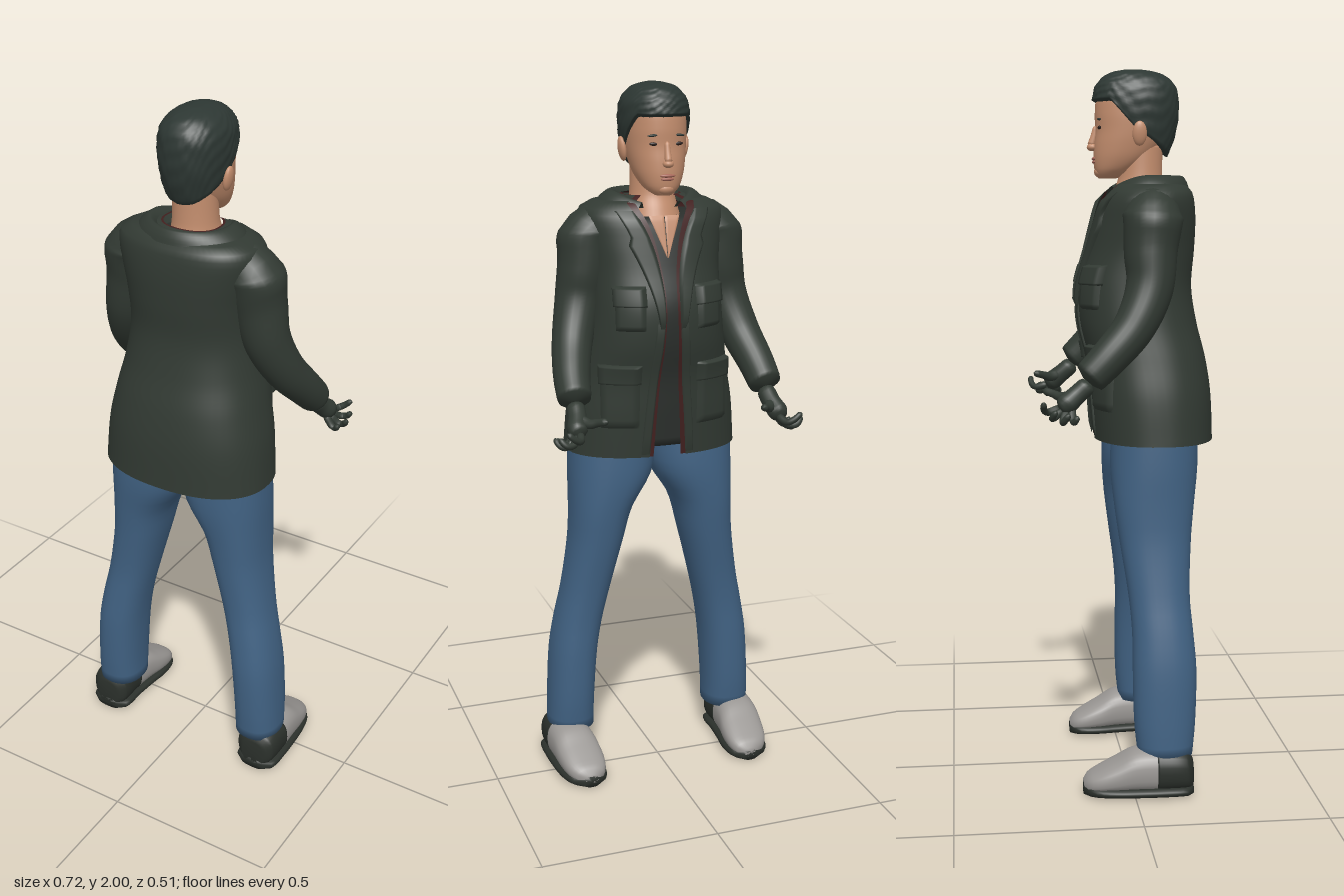
import * as THREE from 'three';
import { mergeVertices } from 'three/addons/utils/BufferGeometryUtils.js';

const V = (x, y, z) => new THREE.Vector3(x, y, z);
const paint = (name, color) => Object.assign(new THREE.MeshStandardMaterial({ color }), { name });
const spow = (a, e) => Math.sign(a) * Math.abs(a) ** e;

// Smooth surface over a grid; f(u, v) gives a point, caps close both ends
function sheet(nu, nv, f, caps = false) {
  const rows = [];
  for (let j = 0; j <= nv; j++) rows.push(Array.from({ length: nu + 1 }, (_, i) => f(i / nu, j / nv)));
  if (caps) {
    const collapse = row => {
      const c = V(0, 0, 0);
      row.slice(1).forEach(p => c.addScaledVector(p, 1 / nu));
      return row.map(() => c);
    };
    rows.unshift(collapse(rows[0]));
    rows.push(collapse(rows[rows.length - 1]));
  }
  const index = [], w = nu + 1;
  for (let j = 0; j < rows.length - 1; j++) for (let i = 0; i < nu; i++) {
    const a = j * w + i;
    index.push(a, a + w, a + 1, a + 1, a + w, a + w + 1);
  }
  let g = new THREE.BufferGeometry().setFromPoints(rows.flat());
  g.setIndex(index);
  g = mergeVertices(g, 1e-5);
  g.computeVertexNormals();
  return g;
}

// Smooth interpolation of a table whose first column is the key
function sample(table, k) {
  let i = 0;
  while (i < table.length - 2 && k > table[i + 1][0]) i++;
  const a = table[i], b = table[i + 1], p = table[i - 1] || a, n = table[i + 2] || b;
  const h = b[0] - a[0], t = Math.min(1, Math.max(0, (k - a[0]) / h));
  return a.map((_, c) => {
    const m0 = (b[c] - p[c]) / (b[0] - p[0]) * h, m1 = (n[c] - a[c]) / (n[0] - a[0]) * h;
    return a[c] * (1 + 2 * t) * (1 - t) ** 2 + m0 * t * (1 - t) ** 2 + b[c] * t * t * (3 - 2 * t) + m1 * t * t * (t - 1);
  });
}

// Point on a body of horizontal sections [y, halfWidth, zFront, zBack, centreX]
function onBody(table, y, ang, off = 0, n = 2.3) {
  const [, rx, zf, zb, cx = 0] = sample(table, y);
  return V(cx + (rx + off) * spow(Math.sin(ang), 2 / n), y,
    (zf + zb) / 2 - ((zb - zf) / 2 + off) * spow(Math.cos(ang), 2 / n));
}
const body = (table, y0, y1, off = 0, n = 2.3) =>
  sheet(40, 30, (u, v) => onBody(table, y0 + (y1 - y0) * v, u * Math.PI * 2, off, n), true);

// Round limb along a path with changing radius
function limb(points, radii, nu = 16, nv = 24, round = 0.08) {
  const curve = new THREE.CatmullRomCurve3(points), fr = curve.computeFrenetFrames(nv);
  return sheet(nu, nv, (u, v) => {
    const k = v * (radii.length - 1), i = Math.min(Math.floor(k), radii.length - 2);
    const d = Math.min(1, Math.min(v, 1 - v) / round);
    const r = (radii[i] + (radii[i + 1] - radii[i]) * (k - i)) * (0.3 + 0.7 * Math.sqrt(1 - (1 - d) ** 2));
    const j = Math.round(v * nv), a = -u * Math.PI * 2;
    return curve.getPoint(v).addScaledVector(fr.normals[j], r * Math.cos(a)).addScaledVector(fr.binormals[j], r * Math.sin(a));
  }, true);
}

// Section tables
const JACKET = [[0.97, 0.252, -0.09, 0.25], [1.1, 0.24, -0.1, 0.245], [1.2, 0.22, -0.108, 0.23], [1.3, 0.2, -0.13, 0.205],
  [1.4, 0.188, -0.132, 0.19], [1.5, 0.188, -0.105, 0.197], [1.58, 0.2, -0.085, 0.2], [1.64, 0.207, -0.068, 0.195],
  [1.67, 0.19, -0.05, 0.185], [1.685, 0.14, -0.03, 0.165], [1.695, 0.085, -0.01, 0.13]];
const OPENING = [[0.97, 0.17], [1.2, 0.12], [1.4, 0.08], [1.5, 0.11], [1.6, 0.22], [1.66, 0.4], [1.695, 0.75]];
const LEG = [[0.11, 0.068, 0.012, 0.165, 0.25], [0.2, 0.068, 0.003, 0.173, 0.248], [0.35, 0.069, 0, 0.177, 0.238],
  [0.45, 0.069, 0, 0.17, 0.222], [0.55, 0.07, -0.008, 0.163, 0.2], [0.7, 0.078, -0.03, 0.17, 0.17],
  [0.8, 0.09, -0.043, 0.18, 0.154], [0.9, 0.12, -0.05, 0.193, 0.124], [1.02, 0.125, -0.045, 0.195, 0.115]];
const HEAD = [[1.7, 0.022, -0.07, -0.02], [1.715, 0.044, -0.079, 0.015], [1.75, 0.064, -0.084, 0.07], [1.79, 0.075, -0.083, 0.105],
  [1.83, 0.081, -0.079, 0.125], [1.88, 0.084, -0.08, 0.14], [1.93, 0.08, -0.073, 0.138], [1.97, 0.055, -0.045, 0.11]];
const HAIR = [[1.74, 0.062, -0.02, 0.11], [1.78, 0.077, -0.06, 0.132], [1.84, 0.089, -0.08, 0.15], [1.9, 0.094, -0.087, 0.155],
  [1.95, 0.087, -0.08, 0.147], [1.98, 0.064, -0.055, 0.12], [1.992, 0.042, -0.03, 0.09], [1.998, 0.015, 0, 0.06]];
const NECK = [[1.58, 0.09, -0.06, 0.12], [1.66, 0.07, -0.03, 0.115], [1.7, 0.063, -0.015, 0.11], [1.79, 0.06, -0.01, 0.11]];
// Shoe sections run from heel to toe: [-z, centreX, halfWidth, topY]
const SHOE = [[-0.163, 0.267, 0.035, 0.1], [-0.145, 0.267, 0.058, 0.125], [-0.07, 0.268, 0.062, 0.133], [0, 0.264, 0.064, 0.128],
  [0.05, 0.259, 0.065, 0.1], [0.1, 0.255, 0.058, 0.072], [0.128, 0.252, 0.042, 0.055], [0.14, 0.25, 0.02, 0.04]];

export function createModel() {
  const root = new THREE.Group();
  const jacket = paint('jacket green', 0x323a33), hair = paint('hair', 0x2d3733), skin = paint('skin', 0xc48e6e);
  const jeans = paint('jeans blue', 0x416283), grey = paint('shoe grey', 0x9a9794), sole = paint('sole dark', 0x2b302b);
  const lining = paint('lining maroon', 0x42201f), shirt = paint('shirt', 0x2b2f2c);
  const eye = paint('eye', 0x2a1f1b), lip = paint('lips', 0xa8685a);
  jacket.side = lining.side = hair.side = skin.side = THREE.DoubleSide;
  const add = (name, geo, mat) => {
    const m = new THREE.Mesh(geo, mat);
    m.name = name;
    root.add(m);
    return m;
  };
  const blob = (name, mat, p, s, rz = 0) => {
    const m = add(name, new THREE.SphereGeometry(1, 16, 12), mat);
    m.position.set(...p);
    m.scale.set(...s);
    m.rotation.z = rz;
  };

  // Raised patch on the front of the jacket, between x limits that vary with y
  const xToAngle = (x, y) => Math.asin(spow(Math.max(-1, Math.min(1, x / sample(JACKET, y)[1])), 1.15));
  const patch = (y0, y1, xa, xb, raise, base = 0) => sheet(10, 14, (u, v) => {
    const y = y0 + (y1 - y0) * v, a = xa(y), b = xb(y), lo = Math.min(a, b), hi = Math.max(a, b);
    const rim = u === 0 || u === 1 || v === 0 || v === 1;
    return onBody(JACKET, y, xToAngle(lo + (hi - lo) * u, y), base + (rim ? 0 : raise));
  });

  // Open jacket shell, lining and shirt
  const shell = (off, slack) => sheet(56, 44, (u, v) => {
    const y = 0.972 + 0.723 * v, g = sample(OPENING, y)[1] * slack;
    return onBody(JACKET, y, g + (Math.PI * 2 - 2 * g) * u, off);
  });
  add('jacketShell', shell(0, 1), jacket);
  add('jacketLining', shell(-0.006, 0.75), lining);
  add('shirtFront', body(JACKET, 1.0, 1.64, -0.012), shirt);
  add('openNeckline', patch(1.53, 1.645, () => -0.001, y => -0.001 - (y - 1.53) * 0.4, 0.002, -0.01), skin);
  add('openNeckline', patch(1.53, 1.645, () => 0.001, y => 0.001 + (y - 1.53) * 0.4, 0.002, -0.01), skin);

  // Fold-down collar
  add('collar', sheet(48, 10, (u, v) => {
    const a = 0.5 + (Math.PI * 2 - 1) * u, front = Math.max(0, Math.cos(a));
    const [, rx, rz, y] = sample([[0, 0.158, 0.122, 1.672], [0.3, 0.14, 0.115, 1.692], [0.65, 0.11, 0.1, 1.706], [1, 0.08, 0.072, 1.67]], v);
    return V(rx * Math.sin(a), y - 0.035 * front ** 2, 0.062 - rz * Math.cos(a));
  }), jacket);

  // Neck, head and face
  add('neck', body(NECK, 1.58, 1.79, 0, 2), skin);
  add('head', body(HEAD, 1.7, 1.97, 0, 2.2), skin);
  add('hair', sheet(72, 30, (u, v) => {
    const a = u * Math.PI * 2, c = Math.cos(a);
    const low = c > 0 ? 1.825 + 0.09 * Math.min(1, c * 1.6) : 1.825 + 0.065 * c;
    const y = low + (1.998 - low) * (1 - (1 - v) ** 1.6);
    const tuft = 0.0018 * Math.sin(a * 17 + v * 9) * Math.sin(v * 31 + 3 * Math.sin(a * 5));
    return onBody(HAIR, y, a, tuft, 2.2);
  }, true), hair);
  blob('noseTip', skin, [0, 1.786, -0.088], [0.015, 0.011, 0.015]);
  add('noseBridge', limb([V(0, 1.845, -0.077), V(0, 1.815, -0.084), V(0, 1.788, -0.092)], [0.007, 0.009, 0.011], 10, 10), skin);
  blob('upperLip', lip, [0, 1.754, -0.083], [0.022, 0.005, 0.006]);
  blob('lowerLip', lip, [0, 1.745, -0.082], [0.019, 0.005, 0.006]);
  blob('chin', skin, [0, 1.718, -0.066], [0.025, 0.016, 0.017]);

  // Paired parts: s = 1 is +x, s = -1 is -x
  for (const s of [1, -1]) {
    const P = (x, y, z) => V(s * x, y, z);
    blob('ear', skin, [s * 0.09, 1.82, 0.035], [0.011, 0.034, 0.02], -s * 0.15);
    blob('eye', eye, [s * 0.034, 1.838, -0.0705], [0.014, 0.005, 0.005], s * 0.05);
    blob('eyebrow', hair, [s * 0.035, 1.861, -0.0715], [0.018, 0.0035, 0.005], -s * 0.08);

    // Lapel, pockets and flaps
    const edge = y => s * (sample(JACKET, y)[1] * Math.sin(sample(OPENING, y)[1]) ** 0.87);
    const width = y => y < 1.58 ? 0.012 + 0.055 * (y - 1.34) / 0.24 : 0.05;
    add('lapel', patch(1.34, 1.66, edge, y => edge(y) + s * width(y), 0.01), jacket);
    add('frontPlacket', patch(0.98, 1.36, edge, y => edge(y) + s * 0.025, 0.005), jacket);
    const pocket = (name, x0, x1, y0, y1) => {
      add(name, patch(y0, y1, () => s * x0, () => s * x1, 0.009), jacket);
      add(name + 'Flap', patch(y1 - 0.045, y1 + 0.012, () => s * (x0 - 0.004), () => s * (x1 + 0.004), 0.017), jacket);
    };
    pocket('chestPocket', 0.075, 0.15, 1.34, 1.45);
    pocket('lowerPocket', 0.085, 0.185, 1.06, 1.23);

    // Sleeve and cuff
    add('sleeve', limb([P(0.13, 1.6, 0.06), P(0.182, 1.592, 0.06), P(0.2, 1.5, 0.052), P(0.22, 1.4, 0.045), P(0.25, 1.3, 0),
      P(0.273, 1.22, -0.07), P(0.282, 1.16, -0.13)], [0.07, 0.083, 0.073, 0.065, 0.057, 0.051, 0.046], 24, 48, 0.03), jacket);

    // Open hand, palm up
    add('palm', limb([P(0.28, 1.155, -0.12), P(0.284, 1.125, -0.155), P(0.293, 1.1, -0.185), P(0.294, 1.088, -0.205)],
      [0.026, 0.026, 0.029, 0.02], 14, 16, 0.15), jacket);
    const fingers = [
      [P(0.288, 1.09, -0.2), P(0.3, 1.08, -0.236), P(0.318, 1.09, -0.247), P(0.338, 1.108, -0.248)],
      [P(0.295, 1.085, -0.195), P(0.317, 1.066, -0.222), P(0.336, 1.07, -0.225), P(0.352, 1.088, -0.216)],
      [P(0.297, 1.085, -0.185), P(0.324, 1.056, -0.197), P(0.342, 1.06, -0.195), P(0.356, 1.08, -0.182)],
      [P(0.294, 1.09, -0.172), P(0.317, 1.058, -0.17), P(0.33, 1.056, -0.167), P(0.342, 1.072, -0.158)]];
    fingers.forEach(f => add('finger', limb(f, [0.012, 0.01, 0.009, 0.008], 10, 16, 0.12), jacket));
    add('thumb', limb([P(0.28, 1.12, -0.165), P(0.262, 1.115, -0.195), P(0.244, 1.122, -0.216), P(0.225, 1.13, -0.243)],
      [0.018, 0.014, 0.011, 0.01], 10, 16, 0.12), jacket);

    // Trouser leg
    add('trouserLeg', body(LEG.map(([y, r, f, b, c]) => [y, r, f, b, s * c]), 0.11, 1.02), jeans);

    // Shoe: dark heel, grey upper, dark sole
    const shoe = (k0, k1, y0, top, off) => sheet(28, 18, (u, v) => {
      const k = k0 + (k1 - k0) * v, [, cx, w, h] = sample(SHOE, k), a = u * Math.PI * 2, y1 = top || h;
      return V(s * cx + (w + off) * spow(Math.sin(a), 0.8), (y0 + y1) / 2 - (y1 - y0) / 2 * spow(Math.cos(a), 0.8), -k);
    }, true);
    add('shoeHeel', shoe(-0.163, -0.06, 0.012, 0, 0.001), sole);
    add('shoeUpper', shoe(-0.07, 0.14, 0.012, 0, 0), grey);
    add('shoeSole', shoe(-0.163, 0.14, 0, 0.034, 0.004), sole);
  }
  return root;
}
